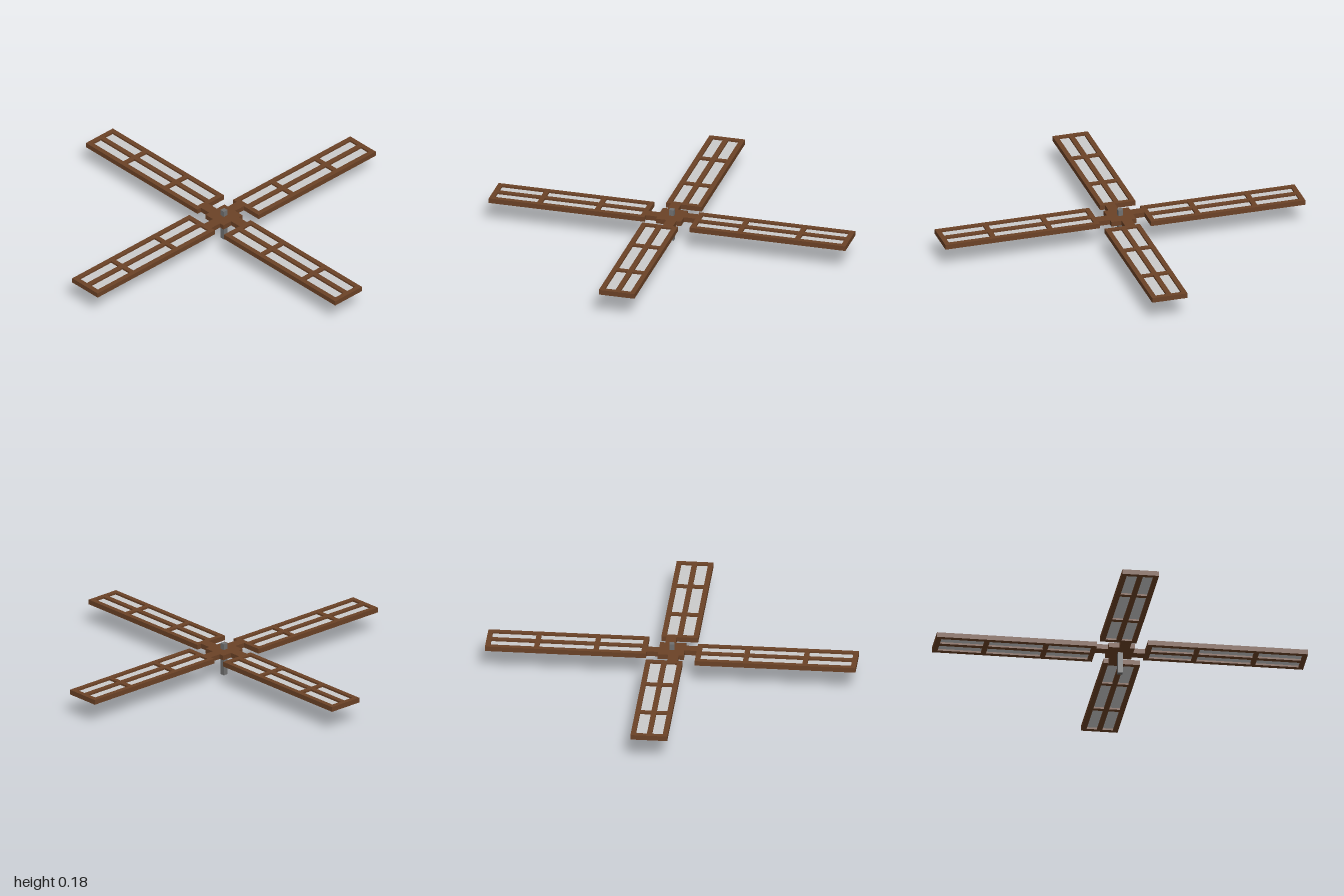
import * as THREE from 'three';

const wood = new THREE.MeshStandardMaterial({ color: 0x6b4226 });
const cloth = new THREE.MeshStandardMaterial({ color: 0xcccccc });
const metal = new THREE.MeshStandardMaterial({ color: 0x707070 });

const BOTTOM = 0.12, TOP = 0.147;

// Box given by its extents on each axis
function block(name, material, [x0, x1], [y0, y1], [z0, z1]) {
  const mesh = new THREE.Mesh(new THREE.BoxGeometry(x1 - x0, y1 - y0, z1 - z0), material);
  mesh.position.set((x0 + x1) / 2, (y0 + y1) / 2, (z0 + z1) / 2);
  mesh.name = name;
  return mesh;
}

function rectangle(path, [x0, x1], [z0, z1]) {
  path.moveTo(x0, z0).lineTo(x1, z0).lineTo(x1, z1).lineTo(x0, z1).closePath();
  return path;
}

// Wooden lattice: a board with two rows of three windows
function latticeGeometry() {
  const shape = rectangle(new THREE.Shape(), [0.134, 1], [-0.07, 0.128]);
  for (const xs of [[0.161, 0.391], [0.418, 0.711], [0.738, 0.973]]) {
    for (const zs of [[-0.043, 0.014], [0.042, 0.101]]) {
      shape.holes.push(rectangle(new THREE.Path(), xs, zs));
    }
  }
  const geometry = new THREE.ExtrudeGeometry(shape, { depth: TOP - BOTTOM, bevelEnabled: false });
  return geometry.rotateX(Math.PI / 2).translate(0, TOP, 0);
}

// One sail pointing along +x, set off to one side of its arm
function createSail(lattice) {
  const sail = new THREE.Group();
  sail.name = 'sail';
  const frame = new THREE.Mesh(lattice, wood);
  frame.name = 'sailFrame';
  sail.add(
    frame,
    block('sailCloth', cloth, [0.15, 0.985], [0.13, 0.137], [-0.055, 0.113]),
    block('sailArm', wood, [0.07, 0.134], [BOTTOM, TOP], [-0.043, 0.013])
  );
  return sail;
}

export function createModel() {
  const model = new THREE.Group();
  model.name = 'windmillSails';

  // Central axle and hub
  model.add(
    block('axle', metal, [-0.0135, 0.0135], [0, 0.18], [-0.0135, 0.0135]),
    block('hub', wood, [-0.07, 0.07], [BOTTOM, TOP], [-0.07, 0.07])
  );

  // Four sails around the hub
  const lattice = latticeGeometry();
  for (let i = 0; i < 4; i++) {
    const sail = createSail(lattice);
    sail.rotation.y = -i * Math.PI / 2;
    model.add(sail);
  }
  return model;
}
